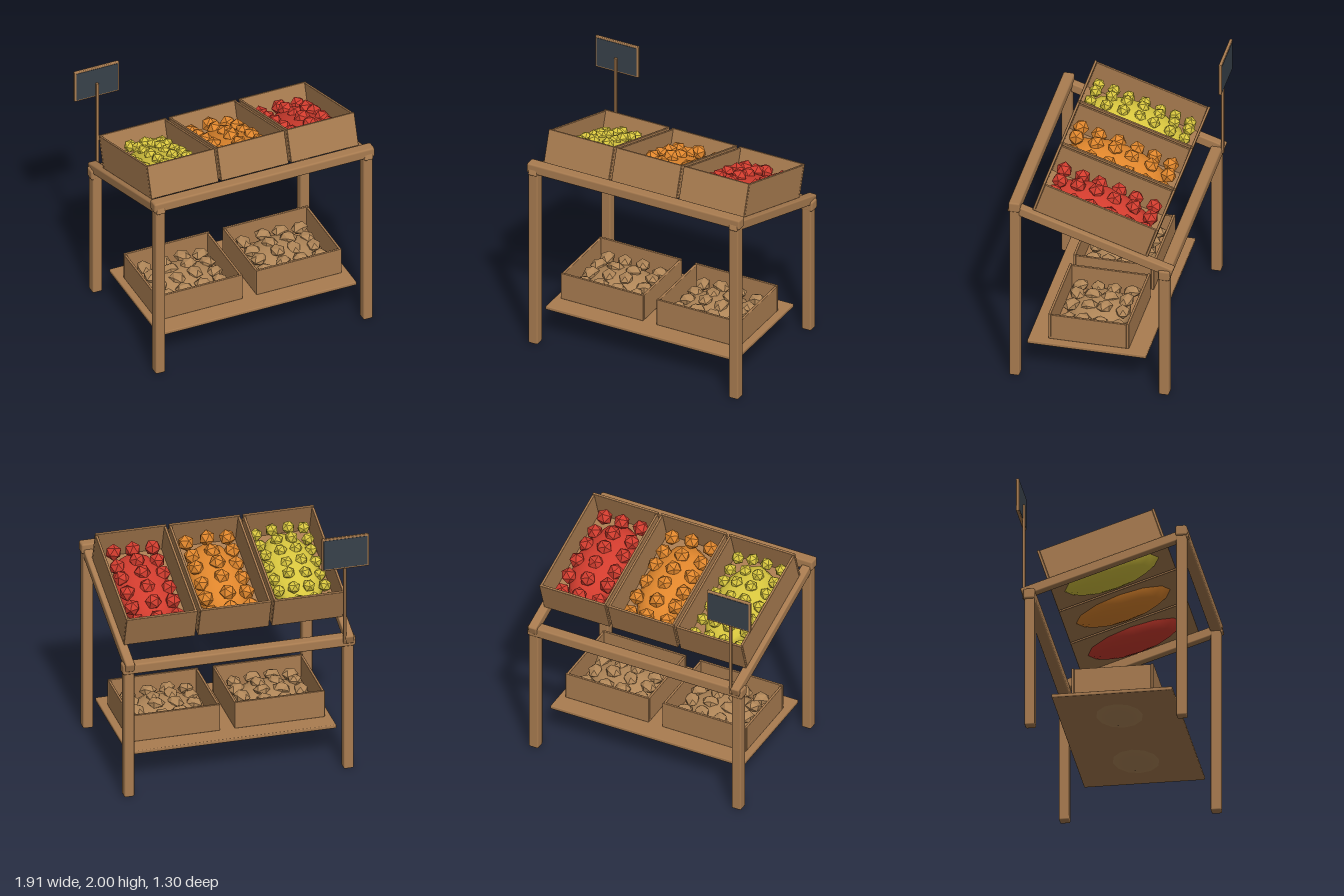
import * as THREE from 'three';
import { RoundedBoxGeometry } from 'three/addons/geometries/RoundedBoxGeometry.js';

const mat = (name, color) => Object.assign(new THREE.MeshStandardMaterial({ color }), { name });

export function createModel() {
  const wood = mat('wood', 0xa97c50);
  const slate = mat('slate', 0x38414a);
  const yellow = mat('yellow fruit', 0xd8c63e);
  const orange = mat('orange fruit', 0xe0862c);
  const red = mat('red fruit', 0xd23c2e);
  const tan = mat('potato', 0xb08658);

  let seed = 7;
  const jitter = (a) => {
    seed = (seed * 16807) % 2147483647;
    return (seed / 2147483647 - 0.5) * 2 * a;
  };

  // Box with softened edges, given by size and centre
  function box(parent, name, [w, h, d], [x, y, z], material = wood, r = 0.012) {
    const radius = Math.min(r, Math.min(w, h, d) * 0.3);
    const mesh = new THREE.Mesh(new RoundedBoxGeometry(w, h, d, 1, radius), material);
    mesh.name = name;
    mesh.position.set(x, y, z);
    parent.add(mesh);
    return mesh;
  }

  // Open crate standing on its own y = 0; end panels cover the sides
  function crate(name, w, h, d) {
    const g = new THREE.Group();
    g.name = name;
    const t = 0.02;
    box(g, 'crateFloor', [w - 0.004, t, d - 0.01], [0, t / 2, 0], wood, 0.004);
    for (const s of [-1, 1]) {
      box(g, 'crateEnd', [w, h, t], [0, h / 2, s * (d - t) / 2], wood, 0.005);
      box(g, 'crateSide', [t, h - 0.006, d - 2 * t], [s * (w - t) / 2, h / 2 - 0.003, 0], wood, 0.005);
    }
    return g;
  }

  // Rounded mound with produce set in a loose grid over it
  function heap(parent, name, material, o) {
    const mound = new THREE.Mesh(new THREE.SphereGeometry(1, 12, 8), material);
    mound.name = name + 'Mound';
    mound.scale.set(...o.radii);
    mound.position.y = o.lift;
    parent.add(mound);
    const geo = new THREE.IcosahedronGeometry(o.r, o.detail ?? 0);
    for (let i = 0; i < o.cols; i++) {
      for (let j = 0; j < o.rows; j++) {
        const x = (i - (o.cols - 1) / 2) * o.dx + jitter(0.008);
        const z = (j - (o.rows - 1) / 2) * o.dz + jitter(0.008);
        const u = x / o.radii[0], v = z / o.radii[2];
        const y = o.low + (o.high - o.low) * (1 - u * u) * (1 - 0.5 * v * v);
        const piece = new THREE.Mesh(geo, material);
        piece.name = name;
        piece.position.set(x, y + jitter(0.008), z);
        piece.rotation.set(jitter(3), jitter(3), jitter(3));
        if (o.squash) {
          piece.rotation.set(jitter(0.2), jitter(3), jitter(0.2));
          piece.scale.set(1.15, o.squash, 0.95);
        }
        parent.add(piece);
      }
    }
  }

  const stand = new THREE.Group();
  stand.name = 'marketStand';
  const cx = 0.045, tilt = Math.PI / 10;

  // Frame: tall front legs, short back legs, sloping side rails
  for (const s of [-1, 1]) {
    const x = cx + s * 0.857;
    box(stand, 'frontLeg', [0.08, 1.53, 0.08], [x, 0.765, 0.59]);
    box(stand, 'backLeg', [0.08, 1.1, 0.08], [x, 0.55, -0.565]);
    box(stand, 'sideRail', [0.072, 0.076, 1.33], [x, 1.309, 0.005]).rotation.x = -tilt;
  }
  box(stand, 'frontBeam', [1.82, 0.085, 0.09], [cx, 1.528, 0.59], wood, 0.016);
  box(stand, 'backBeam', [1.82, 0.085, 0.09], [cx, 1.085, -0.568], wood, 0.016);
  box(stand, 'lowerShelf', [1.63, 0.03, 0.92], [cx, 0.265, 0.05], wood, 0.008);

  // Tilted fruit crates
  const bigFruit = { radii: [0.222, 0.14, 0.405], lift: 0.05, r: 0.064,
    cols: 3, rows: 6, dx: 0.157, dz: 0.147, low: 0.11, high: 0.185 };
  const smallFruit = { ...bigFruit, r: 0.051, cols: 4, rows: 7, dx: 0.122, dz: 0.126 };
  const fruits = [
    ['yellowFruit', yellow, smallFruit],
    ['orangeFruit', orange, bigFruit],
    ['redFruit', red, bigFruit],
  ];
  fruits.forEach(([name, material, options], i) => {
    const c = crate(name + 'Crate', 0.556, 0.265, 0.94);
    c.position.set(-0.533 + i * 0.577, 1.351, 0.0125);
    c.rotation.x = -tilt;
    heap(c, name, material, options);
    stand.add(c);
  });

  // Potato crates on the lower shelf
  for (const x of [-0.367, 0.452]) {
    const c = crate('potatoCrate', 0.705, 0.222, 0.625);
    c.position.set(x, 0.282, 0.047);
    heap(c, 'potato', tan, { radii: [0.29, 0.12, 0.245], lift: 0.05, r: 0.062,
      cols: 4, rows: 4, dx: 0.15, dz: 0.13, low: 0.11, high: 0.165, squash: 0.75 });
    stand.add(c);
  }

  // Sign on a thin post at the back corner
  box(stand, 'signPost', [0.022, 0.78, 0.02], [-0.775, 1.47, -0.618], wood, 0.004);
  const sign = new THREE.Group();
  sign.name = 'sign';
  sign.position.set(-0.772, 1.865, -0.64);
  stand.add(sign);
  box(sign, 'signFrame', [0.37, 0.27, 0.024], [0, 0, 0], wood, 0.007);
  for (const s of [-1, 1]) {
    box(sign, 'signPanel', [0.342, 0.242, 0.006], [0, 0, s * 0.0115], slate, 0.001);
  }
  return stand;
}
